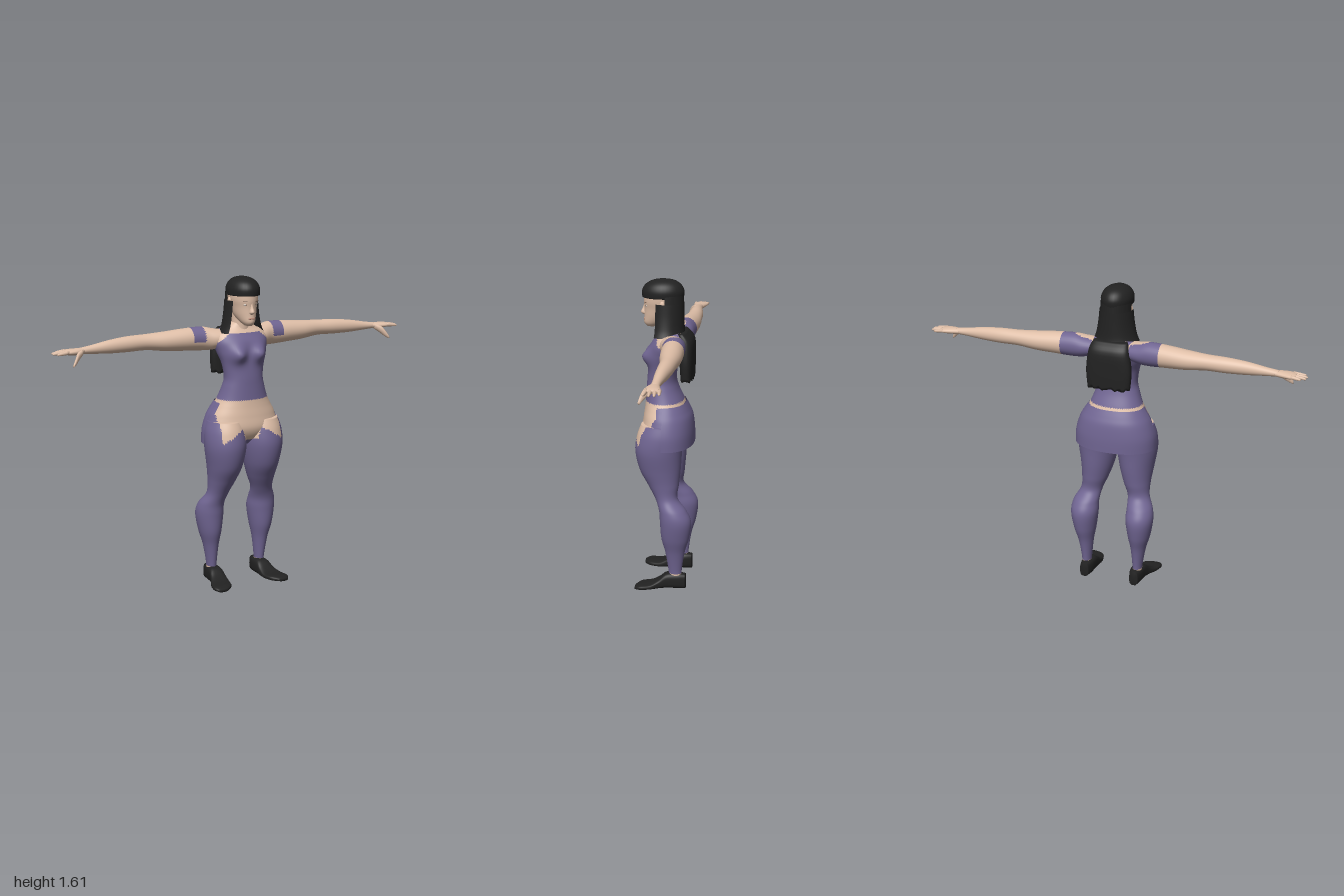
import * as THREE from 'three';

const make = (name, color, side = THREE.FrontSide) => {
  const m = new THREE.MeshStandardMaterial({ color, side });
  m.name = name;
  return m;
};

// Smooth interpolation through cross-sections
function sample(secs, j, t) {
  const at = i => secs[Math.max(0, Math.min(secs.length - 1, i))];
  const [a, b, c, d] = [at(j - 1), at(j), at(j + 1), at(j + 2)];
  return b.map((_, k) => {
    const m0 = (c[k] - a[k]) / 2, m1 = (d[k] - b[k]) / 2, t2 = t * t, t3 = t2 * t;
    return (2 * t3 - 3 * t2 + 1) * b[k] + (t3 - 2 * t2 + t) * m0 + (3 * t2 - 2 * t3) * c[k] + (t3 - t2) * m1;
  });
}

// Skins cross-sections [s, u0, u1, v0, v1] given in ascending order along an axis.
// rule(x, y, z) picks the material index of each face.
function loft(secs, { axis = 'y', arc = null, power = 1, seg = 32, steps = 5, rule = null, deform = null } = {}) {
  const rings = [], pos = [], groups = [[], [], []];
  for (let j = 0; j < secs.length - 1; j++) for (let i = 0; i < steps; i++) rings.push(sample(secs, j, i / steps));
  rings.push(secs[secs.length - 1]);
  const put = (s, u, v) => {
    const p = axis === 'y' ? [u, s, v] : axis === 'x' ? [s, v, u] : [v, u, s];
    pos.push(...(deform ? deform(...p) : p));
  };
  const soft = n => Math.sign(n) * Math.abs(n) ** power;
  const [a0, a1] = arc || [0, Math.PI * 2], n = arc ? seg + 1 : seg;
  for (const [s, u0, u1, v0, v1] of rings) for (let k = 0; k < n; k++) {
    const a = a0 + (a1 - a0) * k / seg;
    put(s, (u0 + u1) / 2 + (u1 - u0) / 2 * soft(Math.cos(a)), (v0 + v1) / 2 + (v1 - v0) / 2 * soft(Math.sin(a)));
  }
  const tri = (...ids) => {
    const c = [0, 1, 2].map(d => ids.reduce((sum, i) => sum + pos[i * 3 + d], 0) / 3);
    groups[rule ? rule(...c) : 0].push(...ids);
  };
  for (let j = 0; j < rings.length - 1; j++) for (let k = 0; k < seg; k++) {
    const l = (k + 1) % n, A = j * n + k, B = j * n + l;
    tri(A, A + n, B);
    tri(B, A + n, B + n);
  }
  if (!arc) [0, rings.length - 1].forEach((r, end) => {
    const [s, u0, u1, v0, v1] = rings[r], c = pos.length / 3;
    put(s, (u0 + u1) / 2, (v0 + v1) / 2);
    for (let k = 0; k < n; k++) {
      const A = r * n + k, B = r * n + (k + 1) % n;
      end ? tri(c, B, A) : tri(c, A, B);
    }
  });
  const g = new THREE.BufferGeometry();
  g.setAttribute('position', new THREE.Float32BufferAttribute(pos, 3));
  g.setIndex(groups.flat());
  let start = 0;
  groups.forEach((ids, i) => { if (ids.length) g.addGroup(start, ids.length, i); start += ids.length; });
  g.computeVertexNormals();
  return g;
}

function mirrored(g) {
  const m = g.clone().scale(-1, 1, 1), ix = m.index;
  for (let i = 0; i < ix.count; i += 3) {
    const t = ix.getX(i);
    ix.setX(i, ix.getX(i + 1));
    ix.setX(i + 1, t);
  }
  m.computeVertexNormals();
  return m;
}

export function createModel() {
  const skin = make('skin', 0xdebea7), cloth = make('purple cloth', 0x706592);
  const skirtCloth = cloth; // the skirt shares the cloth colour
  const black = make('black hair and shoes', 0x222222, THREE.DoubleSide);
  const eyeWhite = make('eye white', 0xd8d0c8), brown = make('brow brown', 0x5a4438), lipTone = make('lips', 0xc0917f);
  cloth.side = THREE.DoubleSide;
  const body = [skin, cloth];
  const model = new THREE.Group();
  model.name = 'figure';
  const add = (name, g, mat) => {
    const m = new THREE.Mesh(g, mat);
    m.name = name;
    model.add(m);
    return m;
  };
  const pair = (name, g, mat) => {
    add('left' + name, g, mat);
    add('right' + name, mirrored(g), mat);
  };
  const sym = rows => rows.map(([s, w, b, f]) => [s, -w, w, b, f]);

  // Which faces of trunk and legs are clothed
  const clothed = (x, y, z) => {
    const ax = Math.abs(x);
    if (y > 1.1) return z > -0.03 ? +(y < 1.325 - Math.max(0, ax - 0.085) * 0.8) : +(y < 1.345);
    if (y > 0.988) return 1;
    if (y > 0.972) return 0;
    if (y < 0.085) return 0;
    const hem = ax < 0.035 ? 0.78 : ax < 0.055 ? 0.78 + (ax - 0.035) * 3.2 : 0.845 - (ax - 0.055) * 0.6;
    return z > 0.03 && ax < 0.17 && y > hem ? 0 : 1;
  };

  // Trunk with bust
  add('trunk', loft(sym([
    [0.75, 0.07, -0.05, 0.06], [0.79, 0.13, -0.09, 0.1], [0.84, 0.192, -0.115, 0.12], [0.9, 0.184, -0.12, 0.115],
    [0.95, 0.157, -0.105, 0.108], [0.99, 0.135, -0.09, 0.104], [1.05, 0.114, -0.063, 0.1], [1.1, 0.104, -0.052, 0.097],
    [1.17, 0.115, -0.06, 0.09], [1.23, 0.135, -0.09, 0.085], [1.28, 0.148, -0.108, 0.075], [1.32, 0.135, -0.105, 0.052],
    [1.35, 0.085, -0.088, 0.035], [1.375, 0.048, -0.07, 0.03],
  ]), {
    seg: 72, steps: 8, power: 0.92, rule: clothed,
    deform: (x, y, z) => [x, y, z > 0.02
      ? z + 0.038 * Math.exp(-(((Math.abs(x) - 0.062) / 0.04) ** 2) - ((y - 1.22) / 0.042) ** 2) : z],
  }), body);
  add('neck', loft(sym([[1.32, 0.06, -0.08, 0.04], [1.36, 0.047, -0.07, 0.04], [1.43, 0.045, -0.06, 0.045]])), skin);

  // Legs: inner and outer x, back and front z
  pair('Leg', loft([
    [0.05, 0.12, 0.168, -0.1, -0.035], [0.1, 0.118, 0.17, -0.1, -0.03], [0.2, 0.108, 0.187, -0.115, -0.014],
    [0.28, 0.093, 0.21, -0.138, 0.006], [0.37, 0.081, 0.225, -0.148, 0.013], [0.43, 0.082, 0.217, -0.122, 0.018],
    [0.49, 0.073, 0.188, -0.075, 0.04], [0.56, 0.045, 0.187, -0.08, 0.08], [0.64, 0.02, 0.197, -0.088, 0.124],
    [0.74, 0.002, 0.212, -0.095, 0.146], [0.82, 0.0, 0.21, -0.105, 0.136], [0.88, 0.01, 0.193, -0.105, 0.115],
  ], { seg: 56, steps: 8, rule: clothed }), body);

  // Skirt panel around the back
  add('skirt', loft(sym([
    [0.76, 0.216, -0.146, 0.146], [0.83, 0.213, -0.145, 0.145], [0.9, 0.192, -0.136, 0.136],
    [0.94, 0.17, -0.12, 0.12], [0.975, 0.146, -0.102, 0.102],
  ]), { arc: [Math.PI, Math.PI * 2], power: 0.9 }), skirtCloth);

  // Shoes, turned slightly outward
  pair('Shoe', loft([
    [-0.12, 0, 0.078, 0.117, 0.163], [-0.08, 0, 0.083, 0.106, 0.172], [-0.02, 0, 0.08, 0.102, 0.18],
    [0.02, 0, 0.05, 0.1, 0.192], [0.06, 0, 0.03, 0.102, 0.21], [0.11, 0, 0.026, 0.118, 0.22], [0.14, 0, 0.015, 0.155, 0.205],
  ], { axis: 'z', power: 0.65 }), black);

  // Arms: back and front z, bottom and top y
  const sleeve = (x, y, z) => +(x < 0.26 && ((z < -0.075 && x > 0.1) || (x > 0.195 && y > 1.287)));
  pair('Arm', loft([
    [0.07, -0.1, 0.03, 1.255, 1.335], [0.14, -0.115, 0.015, 1.238, 1.345], [0.2, -0.12, -0.005, 1.235, 1.356],
    [0.3, -0.125, -0.012, 1.24, 1.352], [0.4, -0.127, -0.022, 1.246, 1.344], [0.5, -0.122, -0.038, 1.258, 1.338],
    [0.6, -0.116, -0.04, 1.257, 1.335], [0.7, -0.103, -0.042, 1.259, 1.325], [0.8, -0.09, -0.046, 1.266, 1.308],
    [0.86, -0.088, -0.046, 1.27, 1.3],
  ], { axis: 'x', steps: 8, rule: sleeve }), body);
  pair('Palm', loft([
    [0.84, -0.088, -0.046, 1.27, 1.3], [0.88, -0.097, -0.033, 1.267, 1.3],
    [0.92, -0.108, -0.028, 1.27, 1.298], [0.945, -0.105, -0.035, 1.276, 1.293],
  ], { axis: 'x', seg: 16 }), skin);
  // Fingers: root z, tip z, tip x
  [[-0.098, -0.104, 0.975], [-0.078, -0.085, 0.997], [-0.058, -0.06, 1], [-0.039, -0.033, 0.987]].forEach(([z0, z1, x1], i) => {
    const row = (t, r) => {
      const z = z0 + (z1 - z0) * t, y = 1.286 - 0.006 * t;
      return [0.925 + (x1 - 0.925) * t, z - r, z + r, y - r, y + r];
    };
    pair('Finger' + (i + 1), loft([row(0, 0.01), row(0.5, 0.0085), row(0.9, 0.006), row(1, 0.002)], { axis: 'x', seg: 8, steps: 2 }), skin);
  });
  pair('Thumb', loft([
    [0.85, -0.06, -0.035, 1.268, 1.294], [0.88, -0.045, -0.016, 1.244, 1.285],
    [0.9, -0.024, -0.004, 1.226, 1.258], [0.917, -0.01, 0.002, 1.216, 1.23],
  ], { axis: 'x', seg: 10, steps: 3 }), skin);

  // Head and face
  add('head', loft(sym([
    [1.366, 0.018, 0.05, 0.1], [1.385, 0.035, 0.005, 0.114], [1.42, 0.052, -0.05, 0.113], [1.46, 0.061, -0.07, 0.112],
    [1.5, 0.069, -0.08, 0.115], [1.55, 0.066, -0.078, 0.108], [1.59, 0.035, -0.04, 0.065],
  ])), skin);
  add('nose', loft(sym([
    [1.424, 0.009, 0.09, 0.115], [1.436, 0.014, 0.09, 0.131], [1.46, 0.008, 0.09, 0.121], [1.488, 0.006, 0.09, 0.112],
  ]), { seg: 12 }), skin);
  const oval = (name, mat, p, s, turn = 0) => {
    const m = add(name, new THREE.SphereGeometry(1, 16, 8), mat);
    m.position.set(...p);
    m.scale.set(...s);
    m.rotation.y = turn;
  };
  for (const s of [1, -1]) {
    const side = s > 0 ? 'left' : 'right';
    oval(side + 'Eye', eyeWhite, [s * 0.028, 1.474, 0.1], [0.012, 0.005, 0.004], s * 0.35);
    oval(side + 'Iris', brown, [s * 0.027, 1.474, 0.103], [0.004, 0.004, 0.002], s * 0.35);
    oval(side + 'Brow', brown, [s * 0.029, 1.49, 0.103], [0.016, 0.002, 0.004], s * 0.35);
    oval(side + 'Ear', skin, [s * 0.074, 1.485, 0.012], [0.009, 0.022, 0.014]);
  }
  oval('mouth', lipTone, [0, 1.404, 0.111], [0.019, 0.006, 0.005]);

  // Hair: cap, fall around the neck, long back panel
  add('hairCap', loft(sym([
    [1.517, 0.079, -0.088, 0.123], [1.55, 0.08, -0.09, 0.124], [1.58, 0.067, -0.074, 0.106],
    [1.6, 0.042, -0.044, 0.072], [1.609, 0.008, 0, 0.03],
  ])), black);
  add('hairCrownBack', loft(sym([[1.47, 0.081, -0.089, 0.089], [1.53, 0.078, -0.088, 0.088]]), { arc: [Math.PI, Math.PI * 2] }), black);
  add('hairFall', loft(sym([
    [1.325, 0.118, -0.098, 0.098], [1.36, 0.104, -0.092, 0.092], [1.42, 0.092, -0.09, 0.09], [1.49, 0.084, -0.089, 0.089],
  ]), { arc: [Math.PI - 0.55, Math.PI * 2 + 0.55] }), black);
  add('hairBack', loft(sym([
    [1.105, 0.112, -0.142, -0.078], [1.2, 0.119, -0.145, -0.072], [1.3, 0.106, -0.141, -0.068], [1.345, 0.09, -0.105, -0.06],
  ]), {
    power: 0.7, seg: 48,
    deform: (x, y, z) => [x, y < 1.13 ? y + 0.007 * Math.sin(x * 170) : y, z],
  }), black);
  return model;
}
